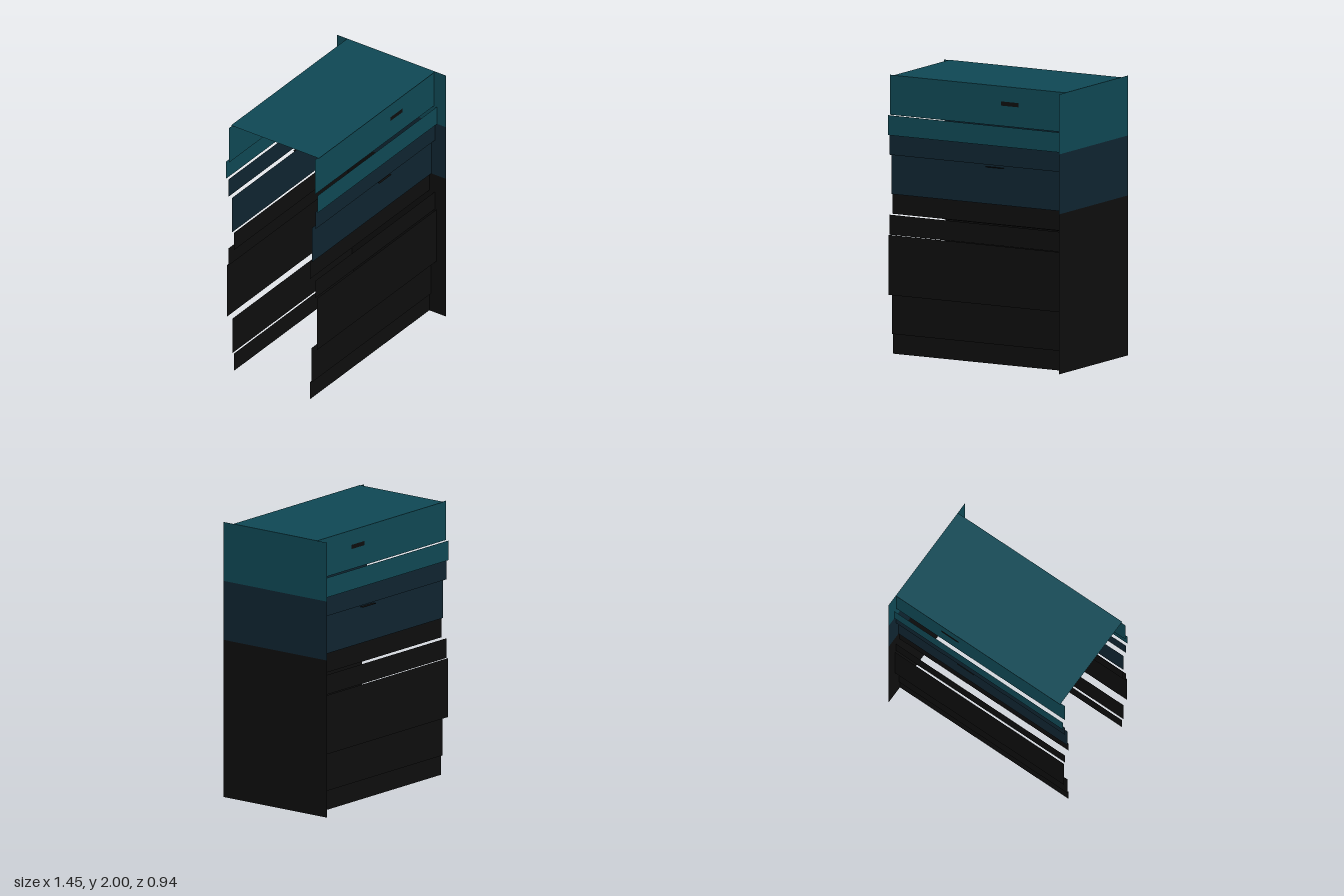
import * as THREE from 'three';

const paint = (name, color) => {
  const m = new THREE.MeshStandardMaterial({ color, side: THREE.DoubleSide });
  m.name = name;
  return m;
};

export function createModel() {
  const group = new THREE.Group();
  const teal = paint('teal', 0x0f4753);
  const navy = paint('navy', 0x0f2430);
  const black = paint('black', 0x0d0d0d);
  const X = 0.727;      // half width
  const U = 2 / 14;     // height of one course

  // Thin sheet, turned about x or y
  const sheet = (name, mat, w, h, pos, rx = 0, ry = 0) => {
    const mesh = new THREE.Mesh(new THREE.PlaneGeometry(w, h), mat);
    mesh.name = name;
    mesh.position.set(...pos);
    mesh.rotation.set(rx, ry, 0);
    group.add(mesh);
  };

  // Front and back cladding, from the top down: courses, distance from centre, colour
  const strips = [
    [2, 0.37, teal], [1, 0.395, teal],
    [1, 0.375, navy], [2, 0.345, navy],
    [1, 0.33, black], [1, 0.375, black], [3, 0.388, black],
    [2, 0.341, black], [1, 0.328, black],
  ];
  let top = 2;
  for (const [courses, z, mat] of strips) {
    const h = courses * U;
    sheet('frontCladding', mat, 2 * X, h, [0, top - h / 2, z]);
    sheet('backCladding', mat, 2 * X, h, [0, top - h / 2, -z], 0, Math.PI);
    top -= h;
  }

  // End wall on the left side, in three bands; the other end is open
  top = 2;
  for (const [courses, mat] of [[3, teal], [3, navy], [8, black]]) {
    const h = courses * U;
    sheet('endWall', mat, 0.94, h, [X, top - h / 2, 0], 0, Math.PI / 2);
    top -= h;
  }

  // Flat roof, stopping short of the open end
  sheet('roof', teal, 1.417, 0.76, [0.0185, 2, 0], -Math.PI / 2);

  // Slot vents and small ledges on both faces
  for (const s of [1, -1]) {
    sheet('slotVent', black, 0.146, 0.03, [0.263, 1.875, s * 0.373], 0, s > 0 ? 0 : Math.PI);
    sheet('ledge', black, 0.146, 0.03, [0.13, 1.41, s * 0.36], -Math.PI / 2);
  }

  return group;
}
